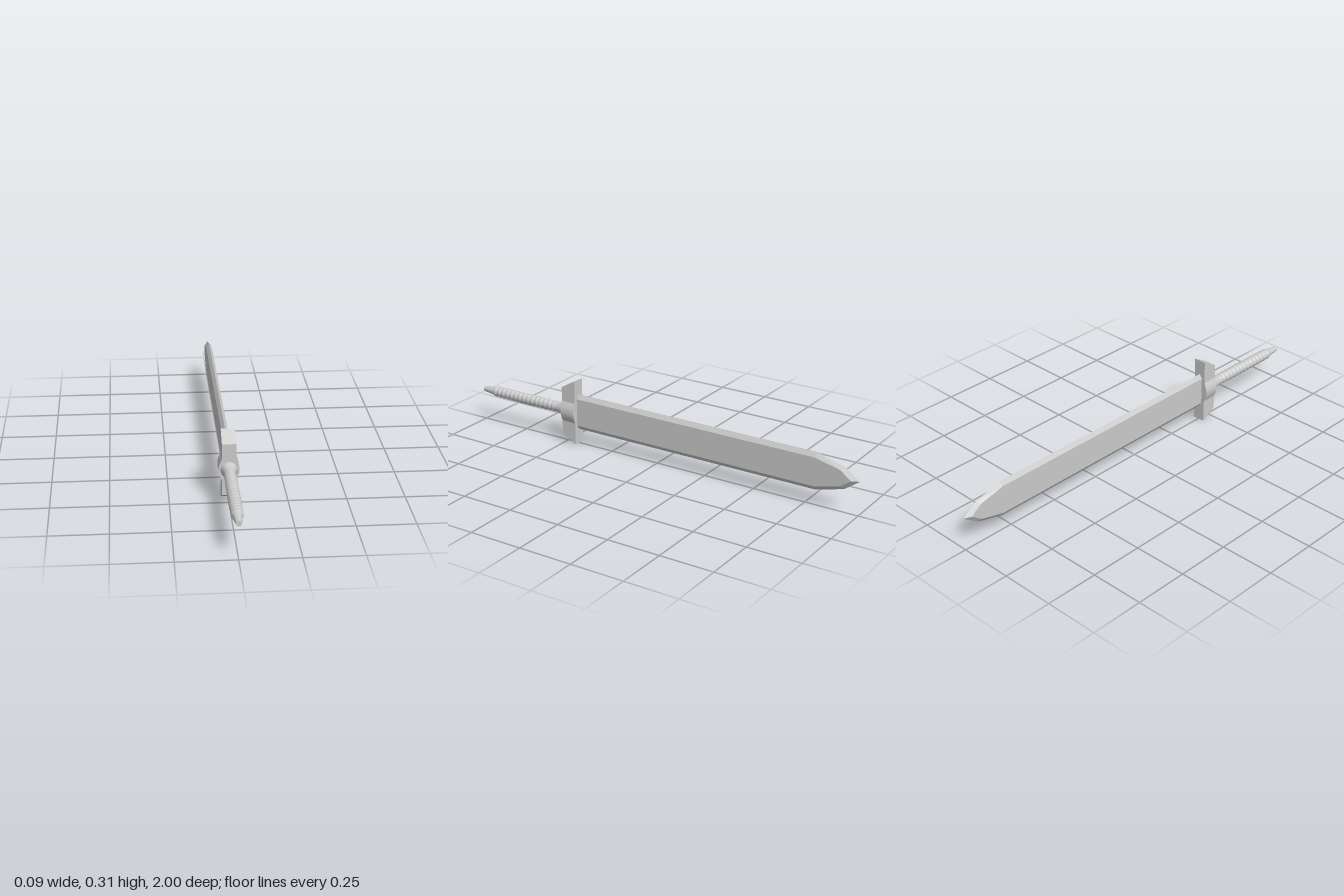
import * as THREE from 'three';

const CY = 0.157; // height of the sword's long axis

// Flat-shaded geometry from a list of polygons, each an ordered list of [x, y, z]
function polygons(faces) {
  const pos = [];
  for (const f of faces)
    for (let i = 1; i < f.length - 1; i++) pos.push(...f[0], ...f[i], ...f[i + 1]);
  const g = new THREE.BufferGeometry();
  g.setAttribute('position', new THREE.Float32BufferAttribute(pos, 3));
  g.computeVertexNormals();
  return g;
}

export function createModel() {
  const group = new THREE.Group();
  const mat = new THREE.MeshStandardMaterial({ color: 0xcccccc, side: THREE.DoubleSide });
  const add = (name, geo) => {
    const m = new THREE.Mesh(geo, mat);
    m.name = name;
    m.position.y = CY;
    group.add(m);
    return m;
  };

  // Blade: sharp outline [z, y], and the edge of the flat face inside it
  const half = [[0.45, 0.086], [-0.8, 0.086], [-0.93, 0.05], [-1, 0]];
  const flatHalf = [[0.45, 0.066], [-0.795, 0.066], [-0.915, 0.037], [-0.965, 0]];
  const mirror = (h) => [...h, ...h.slice(0, -1).reverse().map(([z, y]) => [z, -y])];
  const outer = mirror(half), inner = mirror(flatHalf);
  const faces = [];
  for (const s of [1, -1]) {
    const put = (f) => faces.push(s > 0 ? f : f.reverse());
    const ridge = inner.map(([z, y]) => [s * 0.014, y, z]);
    const edge = outer.map(([z, y]) => [0, y, z]);
    put(ridge.slice().reverse());
    for (let i = 0; i < edge.length - 1; i++)
      put([edge[i], ridge[i], ridge[i + 1], edge[i + 1]]);
  }
  add('blade', polygons(faces));

  // Crossguard: outline in x and y with a round bulge, longer on the blade side
  const W = 0.03, H = 0.156;
  const s = new THREE.Shape();
  s.moveTo(-W, -H);
  s.lineTo(W, -H);
  s.lineTo(W, -0.049);
  s.bezierCurveTo(0.037, -0.032, 0.044, -0.02, 0.044, 0);
  s.bezierCurveTo(0.044, 0.02, 0.037, 0.032, W, 0.049);
  s.lineTo(W, H);
  s.lineTo(-W, H);
  s.lineTo(-W, 0.049);
  s.bezierCurveTo(-0.037, 0.032, -0.044, 0.02, -0.044, 0);
  s.bezierCurveTo(-0.044, -0.02, -0.037, -0.032, -W, -0.049);
  const guard = new THREE.ExtrudeGeometry(s, { depth: 0.073, bevelEnabled: false, curveSegments: 8 });
  guard.translate(0, 0, 0.437);
  const p = guard.attributes.position;
  for (let i = 0; i < p.count; i++)
    if (p.getZ(i) > 0.5 && Math.abs(p.getY(i)) > 0.1) p.setY(i, Math.sign(p.getY(i)) * 0.116);
  guard.computeVertexNormals();
  add('crossguard', guard);

  // Turned parts run along z
  const turned = (name, pts) => {
    const g = new THREE.LatheGeometry(pts.map(([r, z]) => new THREE.Vector2(r, z)), 24);
    g.rotateX(Math.PI / 2);
    add(name, g);
  };
  turned('collar', [[0.036, 0.505], [0.035, 0.515], [0.029, 0.53], [0.025, 0.55], [0.023, 0.575]]);

  // Grip: rounded wraps with grooves between, slightly swollen in the middle
  const wraps = 15, z0 = 0.56, z1 = 0.935, steps = 6, grip = [];
  for (let i = 0; i <= wraps * steps; i++) {
    const t = i / (wraps * steps);
    const bump = Math.sin(Math.PI * ((i % steps) / steps));
    grip.push([0.0215 + 0.0015 * Math.sin(Math.PI * t) + 0.0035 * bump, z0 + t * (z1 - z0)]);
  }
  turned('grip', grip);

  // Pommel: tapered end cap
  turned('pommel', [[0.0215, 0.932], [0.0195, 0.94], [0.0125, 0.998]]);
  const cap = new THREE.CircleGeometry(0.0125, 24);
  cap.translate(0, 0, 0.998);
  add('pommelEnd', cap);

  return group;
}
